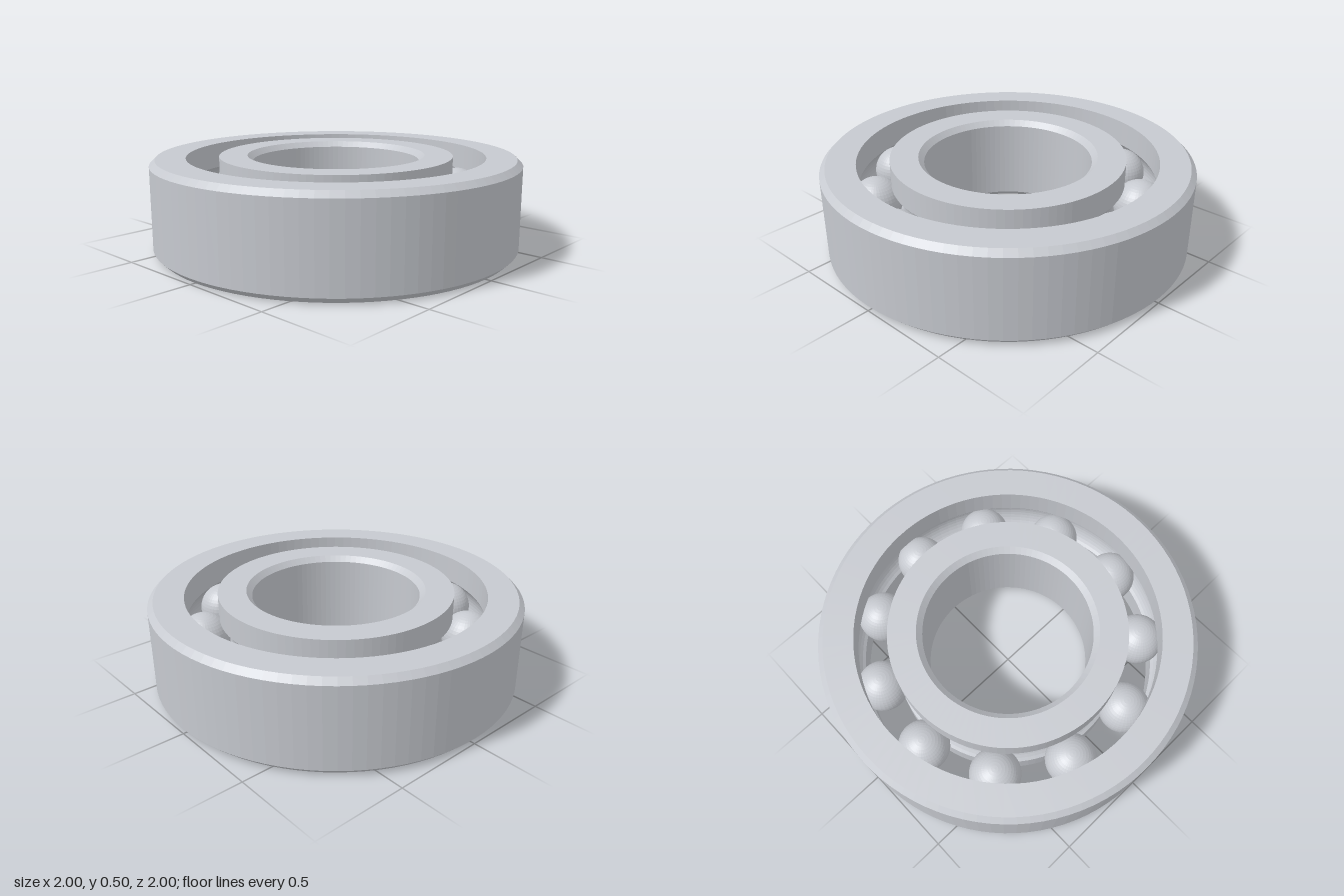
import * as THREE from 'three';

const HEIGHT = 0.5, MID = HEIGHT / 2, CHAMFER = 0.03;
const PITCH = 0.72, GROOVE = 0.14, BALL = 0.138, BALLS = 11;

// Gives every facet its own normal, which keeps the chamfers crisp
function faceted(geometry) {
  const flat = geometry.toNonIndexed();
  flat.computeVertexNormals();
  return flat;
}

// Round ball groove in a ring wall; side is +1 for the outer ring, -1 for the inner
function groove(wall, side) {
  const half = Math.acos(Math.abs(wall - PITCH) / GROOVE);
  const points = [];
  for (let i = 0; i <= 12; i++) {
    const a = half * (1 - i / 6) * side;
    points.push([PITCH + side * GROOVE * Math.cos(a), MID + GROOVE * Math.sin(a)]);
  }
  return points;
}

export function createModel() {
  const model = new THREE.Group();
  model.name = 'ballBearing';
  const steel = new THREE.MeshStandardMaterial({ color: 0xc6c9cf });
  steel.name = 'steel';

  // Closed, counterclockwise (radius, height) profile turned into a ring
  const addRing = (name, profile) => {
    const points = [...profile, profile[0]].map(([r, y]) => new THREE.Vector2(r, y));
    const ring = new THREE.Mesh(faceted(new THREE.LatheGeometry(points, 96)), steel);
    ring.name = name;
    model.add(ring);
  };

  // Outer race: chamfered outside, grooved inside
  addRing('outerRace', [
    [0.81, 0], [1 - CHAMFER, 0], [1, CHAMFER],
    [1, HEIGHT - CHAMFER], [1 - CHAMFER, HEIGHT], [0.81, HEIGHT],
    ...groove(0.81, 1),
  ]);

  // Inner race: chamfered bore, grooved outside
  const bore = 0.453;
  addRing('innerRace', [
    [bore, HEIGHT - CHAMFER], [bore, CHAMFER], [bore + CHAMFER, 0], [0.635, 0],
    ...groove(0.635, -1),
    [0.635, HEIGHT], [bore + CHAMFER, HEIGHT],
  ]);

  // Balls spaced evenly between the races
  const balls = new THREE.Group();
  balls.name = 'balls';
  const ballGeometry = faceted(new THREE.SphereGeometry(BALL, 40, 24));
  for (let i = 0; i < BALLS; i++) {
    const angle = (i / BALLS) * Math.PI * 2;
    const ball = new THREE.Mesh(ballGeometry, steel);
    ball.name = 'ball';
    ball.position.set(PITCH * Math.cos(angle), MID, PITCH * Math.sin(angle));
    balls.add(ball);
  }
  model.add(balls);
  return model;
}
